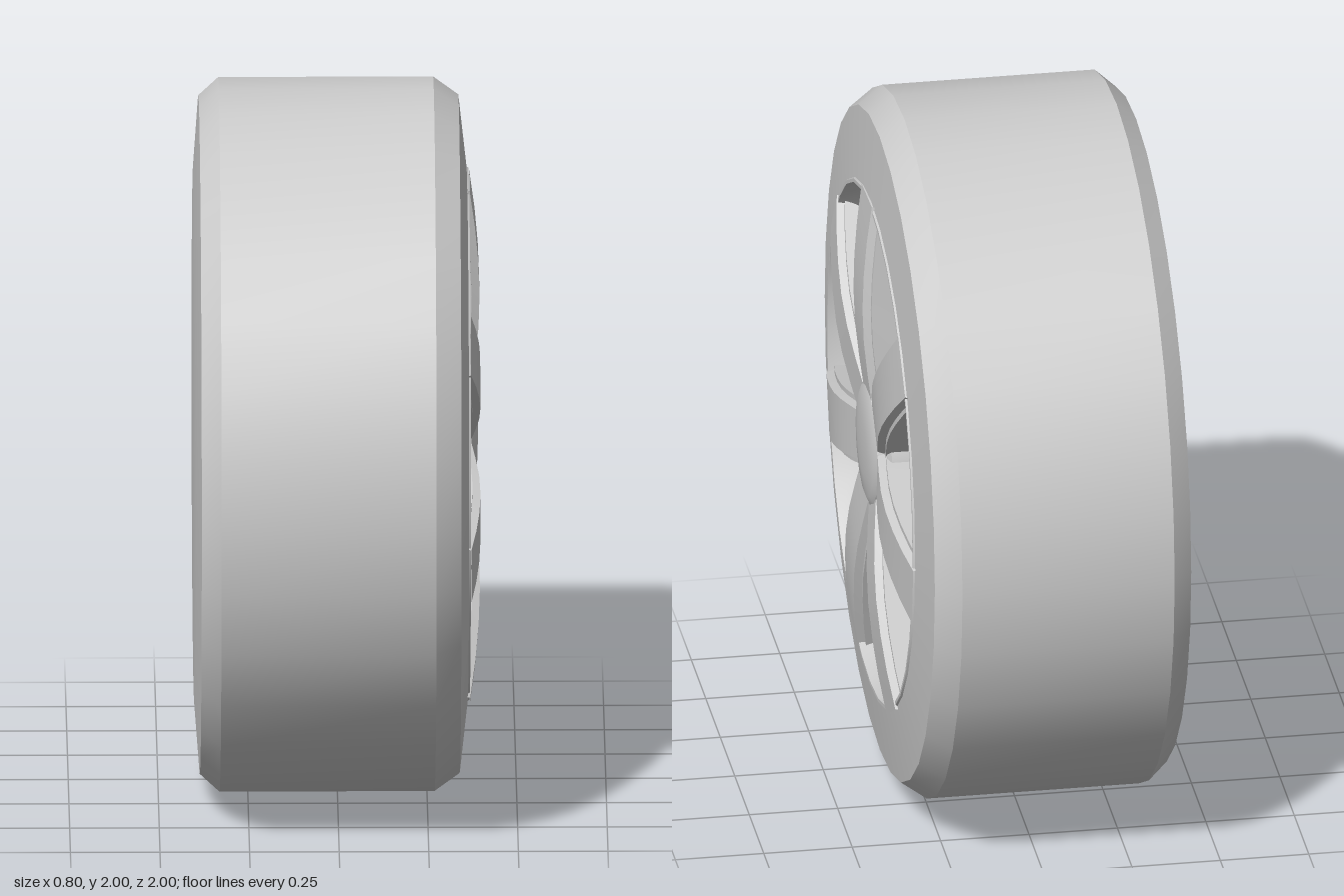
import * as THREE from 'three';
import { toCreasedNormals } from 'three/addons/utils/BufferGeometryUtils.js';

const grey = new THREE.MeshStandardMaterial({ color: 0xcccccc });
grey.name = 'grey';
const black = new THREE.MeshStandardMaterial({ color: 0x060606 });
black.name = 'black';

// Profile of [radius, x] pairs turned round the wheel axle (x)
function turned(name, profile, segments, material, crease = 0.45) {
  const points = profile.map(([r, x]) => new THREE.Vector2(r, x));
  const geometry = new THREE.LatheGeometry(points, segments);
  geometry.rotateZ(-Math.PI / 2);
  const mesh = new THREE.Mesh(toCreasedNormals(geometry, crease), material);
  mesh.name = name;
  return mesh;
}

// Spoke along +y: a raised band with a lower flange on each side
function spokeGeometry() {
  // radius, face x, half width
  const stations = [
    [0.16, 0.374, 0.092], [0.24, 0.384, 0.095], [0.34, 0.394, 0.098], [0.44, 0.397, 0.1],
    [0.54, 0.393, 0.103], [0.64, 0.384, 0.106], [0.75, 0.369, 0.11],
  ];
  const positions = [];
  const index = [];
  for (const [r, x, h] of stations) {
    const half = [[x - 0.11, h], [x - 0.022, h], [x - 0.022, h - 0.014], [x, h - 0.022]];
    const mirrored = half.map(([px, pz]) => [px, -pz]).reverse();
    for (const [px, pz] of [...half, ...mirrored]) positions.push(px, r, pz);
  }
  const n = 8;
  for (let s = 0; s < stations.length - 1; s++) {
    for (let i = 0; i < n; i++) {
      const a = s * n + i;
      const b = s * n + (i + 1) % n;
      index.push(a, a + n, b, b, a + n, b + n);
    }
  }
  const geometry = new THREE.BufferGeometry();
  geometry.setAttribute('position', new THREE.Float32BufferAttribute(positions, 3));
  geometry.setIndex(index);
  // Make sure the faces point outward: the face of the band must look along +x
  const p = geometry.attributes.position;
  const v = (i) => new THREE.Vector3().fromBufferAttribute(p, i);
  const normal = v(3 + n).sub(v(3)).cross(v(4).sub(v(3)));
  if (normal.x < 0) geometry.setIndex(index.reverse());
  return toCreasedNormals(geometry, 0.4);
}

export function createModel() {
  const model = new THREE.Group();
  model.name = 'wheel';
  const wheel = new THREE.Group();
  wheel.name = 'wheelAssembly';
  wheel.position.y = 1;
  model.add(wheel);

  // Closed back, tread, sidewall
  wheel.add(turned('tyre', [
    [0, -0.4], [0.75, -0.4], [0.95, -0.385], [1, -0.33],
    [1, 0.27], [0.95, 0.34], [0.745, 0.363],
  ], 32, grey, 0.35));

  // Sloping barrel behind the spokes
  wheel.add(turned('rimBarrel', [
    [0.75, 0.36], [0.745, 0.368], [0.735, 0.368], [0.72, 0.33], [0.67, 0.25], [0.645, 0.22], [0, 0.215],
  ], 32, grey));

  // Dark backing disc with a ring of round spots
  wheel.add(turned('backingDisc', [[0.638, 0.218], [0.638, 0.225], [0, 0.225]], 48, black));
  const spotGeometry = new THREE.CylinderGeometry(0.046, 0.046, 0.006, 20);
  spotGeometry.rotateZ(-Math.PI / 2);
  for (let i = 0; i < 16; i++) {
    const angle = (i * Math.PI) / 8;
    const spot = new THREE.Mesh(spotGeometry, grey);
    spot.name = 'discSpot';
    spot.position.set(0.227, 0.587 * Math.cos(angle), 0.587 * Math.sin(angle));
    wheel.add(spot);
  }

  // Seven spokes
  const geometry = spokeGeometry();
  for (let i = 0; i < 7; i++) {
    const spoke = new THREE.Mesh(geometry, grey);
    spoke.name = 'spoke';
    spoke.rotation.x = 0.065 + (i * Math.PI * 2) / 7;
    wheel.add(spoke);
  }

  // Hub and domed centre cap
  wheel.add(turned('hub', [[0.25, 0.22], [0.25, 0.345], [0.23, 0.355], [0, 0.355]], 28, grey));
  wheel.add(turned('centreCap', [
    [0.178, 0.34], [0.174, 0.374], [0.15, 0.384], [0.08, 0.391], [0, 0.393],
  ], 14, grey, 0.6));

  return model;
}
